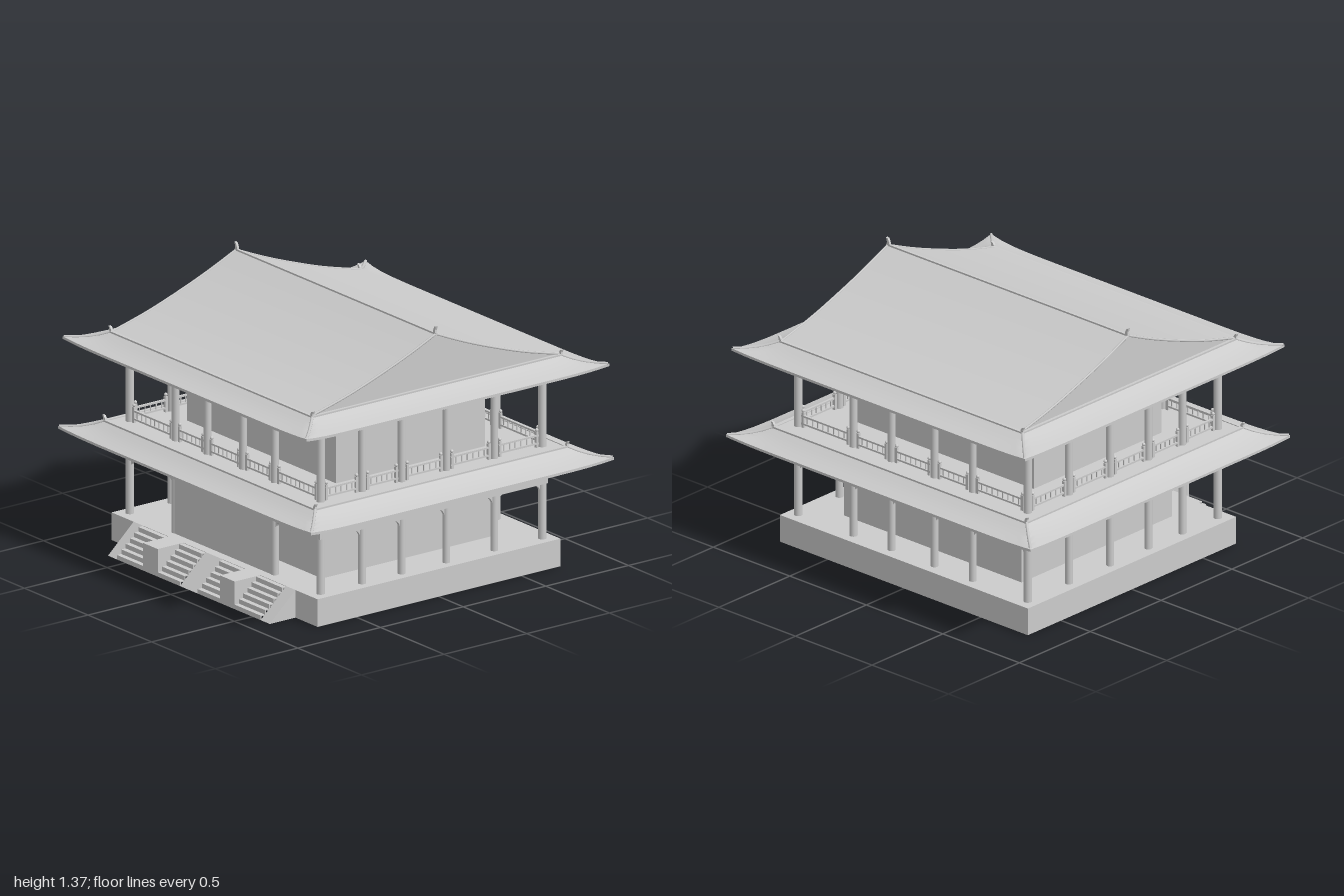
import * as THREE from 'three';
import { toCreasedNormals } from 'three/addons/utils/BufferGeometryUtils.js';

const grey = new THREE.MeshStandardMaterial({ color: 0xcccccc });
const greyDouble = new THREE.MeshStandardMaterial({ color: 0xcccccc, side: THREE.DoubleSide });

function add(parent, name, geometry, x = 0, y = 0, z = 0, material = grey) {
  const mesh = new THREE.Mesh(geometry, material);
  mesh.name = name;
  mesh.position.set(x, y, z);
  parent.add(mesh);
  return mesh;
}

const box = (parent, name, w, h, d, x, y, z) => add(parent, name, new THREE.BoxGeometry(w, h, d), x, y, z);

const polygon = (points) => new THREE.Shape(points.map(([x, y]) => new THREE.Vector2(x, y)));

// Rectangular ring (half sizes outside and inside) standing from y0 to y1
function frame(parent, name, xo, zo, xi, zi, y0, y1) {
  const shape = polygon([[-xo, -zo], [xo, -zo], [xo, zo], [-xo, zo]]);
  shape.holes.push(polygon([[-xi, -zi], [-xi, zi], [xi, zi], [xi, -zi]]));
  const geo = new THREE.ExtrudeGeometry(shape, { depth: y1 - y0, bevelEnabled: false });
  geo.rotateX(-Math.PI / 2);
  return add(parent, name, geo, 0, y0, 0);
}

// Side outline in (z, y), extruded along x and centred
function sideExtrude(points, width) {
  const geo = new THREE.ExtrudeGeometry(polygon(points.map(([z, y]) => [-z, y])), { depth: width, bevelEnabled: false });
  return geo.translate(0, 0, -width / 2).rotateY(Math.PI / 2);
}

// Skirt roof: one section swept round a rectangle, with upswept corners
function eave(parent, name, inner, outer, yTop, yLip) {
  const N = 32, h = yTop - yLip;
  const section = [[0, yTop], [0.25, yLip + h * 0.66], [0.5, yLip + h * 0.38], [0.75, yLip + h * 0.17],
    [1, yLip], [1, yLip - 0.013], [0.6, yLip - 0.011], [-0.5, yLip - 0.008]];
  const pos = [], index = [];
  for (let k = 0; k < 4; k++) {
    const start = pos.length / 3, a = k % 2, b = 1 - a;
    for (const [f, y] of section) {
      for (let i = 0; i <= N; i++) {
        const s = (i / N) * 2 - 1;
        const flare = Math.max(f, 0) ** 2 * Math.abs(s) ** 10;
        const w = THREE.MathUtils.lerp(inner[a], outer[a], f) + 0.016 * flare;
        const d = THREE.MathUtils.lerp(inner[b], outer[b], f) + 0.016 * flare;
        const v = new THREE.Vector3(s * w, y + 0.018 * flare, d).applyAxisAngle(THREE.Object3D.DEFAULT_UP, k * Math.PI / 2);
        pos.push(v.x, v.y, v.z);
      }
    }
    for (let j = 0; j < section.length - 1; j++) {
      for (let i = 0; i < N; i++) {
        const p = start + j * (N + 1) + i, q = p + N + 1;
        index.push(p, q, p + 1, p + 1, q, q + 1);
      }
    }
  }
  const geo = new THREE.BufferGeometry();
  geo.setAttribute('position', new THREE.Float32BufferAttribute(pos, 3));
  geo.setIndex(index);
  add(parent, name, toCreasedNormals(geo, 0.5), 0, 0, 0, greyDouble);
  frame(parent, name + 'Trim', inner[0] + 0.005, inner[1] + 0.005, inner[0] - 0.015, inner[1] - 0.015, yTop - 0.012, yTop + 0.006);

  // Hip ridges and hooked finials on the four corners
  for (const sx of [-1, 1]) {
    for (const sz of [-1, 1]) {
      const points = section.slice(0, 5).map(([f, y]) => new THREE.Vector3(
        sx * (THREE.MathUtils.lerp(inner[0], outer[0], f) + 0.012 * f * f), y + 0.018 * f * f,
        sz * (THREE.MathUtils.lerp(inner[1], outer[1], f) + 0.012 * f * f)));
      add(parent, 'hipRidge', new THREE.TubeGeometry(new THREE.CatmullRomCurve3(points), 12, 0.008, 6));
      finial(parent, sx * (inner[0] - 0.003), yTop, sz * (inner[1] - 0.003), sx, 0.03);
    }
  }
}

// Small upright hook
function finial(parent, x, y, z, sx, height) {
  const shape = polygon([[-0.012, 0], [0.008, 0], [0.006, height * 0.5], [0.012, height], [0, height * 0.9], [-0.008, height * 0.5]]);
  const geo = new THREE.ExtrudeGeometry(shape, { depth: 0.012, bevelEnabled: false }).translate(0, 0, -0.006);
  if (sx < 0) geo.rotateY(Math.PI);
  add(parent, 'finial', geo, x, y, z);
}

// Railing between two pillars, along local x
function railing(parent, x0, x1, y) {
  const g = new THREE.Group(), len = x1 - x0 - 0.05, mid = (x0 + x1) / 2;
  g.name = 'railing';
  g.position.set(mid, y, 0);
  for (const s of [-1, 1]) {
    const x = s * (len / 2 - 0.008);
    box(g, 'railPost', 0.014, 0.08, 0.014, x, 0.04, 0);
    add(g, 'postCap', new THREE.SphereGeometry(0.009, 10, 8), x, 0.088, 0);
  }
  box(g, 'topRail', len, 0.009, 0.012, 0, 0.06, 0);
  box(g, 'bottomRail', len, 0.009, 0.012, 0, 0.02, 0);
  const n = Math.round(len / 0.034);
  for (let i = 1; i < n; i++) box(g, 'baluster', 0.005, 0.04, 0.005, -len / 2 + (len * i) / n, 0.04, 0);
  parent.add(g);
}

// One side of a colonnade: inner pillars, arched corners and railings
function colonnade(parent, stops, depth, angle, y0, y1, { rails = false, skip = -1 } = {}) {
  const g = new THREE.Group(), r = 0.045;
  g.name = 'colonnadeSide';
  g.rotation.y = angle;
  const row = new THREE.Group();
  row.position.z = depth;
  g.add(row);
  stops.forEach((x, i) => {
    if (i > 0 && i < stops.length - 1)
      add(row, 'pillar', new THREE.CylinderGeometry(0.019, 0.019, y1 - y0 + 0.02, 16), x, (y0 + y1) / 2 + 0.01, 0);
    if (i === stops.length - 1 || i === skip) return;
    const next = stops[i + 1];
    for (const [px, s] of [[x + 0.015, 1], [next - 0.015, -1]]) {
      const shape = new THREE.Shape();
      shape.moveTo(0, 0);
      shape.lineTo(0, -r);
      shape.quadraticCurveTo(0.008 * s, -0.008, r * s, 0);
      add(row, 'archBracket', new THREE.ExtrudeGeometry(shape, { depth: 0.016, bevelEnabled: false, curveSegments: 8 }), px, y1 + 0.002, -0.008);
    }
    if (rails) railing(row, x, next, y0);
  });
  parent.add(g);
}

// A storey: pillars on all sides, lintel, ceiling and hollow hall
function storey(name, y0, y1, top, hall, frontStops, options, rails) {
  const g = new THREE.Group();
  g.name = name;
  const back = [-0.75, -0.39, -0.14, 0.14, 0.39, 0.75];
  const side = [-0.67, -0.38, -0.09, 0.18, 0.42, 0.67];
  colonnade(g, frontStops, 0.67, 0, y0, y1, { rails, ...options });
  colonnade(g, back, 0.67, Math.PI, y0, y1, { rails });
  colonnade(g, side.map((z) => -z).reverse(), 0.75, Math.PI / 2, y0, y1, { rails });
  colonnade(g, side, 0.75, -Math.PI / 2, y0, y1, { rails });
  for (const x of [-0.75, 0.75])
    for (const z of [-0.67, 0.67])
      add(g, 'cornerPillar', new THREE.CylinderGeometry(0.021, 0.021, y1 - y0 + 0.02, 16), x, (y0 + y1) / 2 + 0.01, z);
  frame(g, 'lintel', 0.77, 0.69, 0.73, 0.65, y1, top);
  frame(g, 'ceiling', 0.74, 0.66, hall[0] - 0.01, 0.45, top - 0.012, top - 0.002);
  frame(g, 'hallWalls', hall[0], hall[1], hall[0] - 0.012, hall[1] - 0.012, y0 - 0.003, top - 0.001);
  return g;
}

export function createModel() {
  const model = new THREE.Group();
  model.name = 'pavilion';

  // Hollow platform
  frame(model, 'platformWalls', 0.81, 0.735, 0.8, 0.725, 0, 0.14);
  frame(model, 'platformTop', 0.805, 0.73, 0.57, 0.52, 0.13, 0.14);

  // Front steps with sloping cheeks, middle ramp and two solid blocks
  const zigzag = [], under = [], n = 6;
  for (let i = 0; i < n; i++) {
    const z = 0.89 - (i * 0.155) / n, y = ((i + 1) * 0.138) / n;
    zigzag.push([z, y - 0.138 / n], [z, y]);
    under.unshift([z - 0.006, y - 0.138 / n - (i ? 0.005 : 0)], [z - 0.006, y - 0.005]);
  }
  for (let i = 0; i < under.length; i += 2) under.splice(i, 2, under[i + 1], under[i]);
  const stepShape = [...zigzag, [0.735, 0.138], [0.735, 0.133], ...under];
  const slope = [[0.89, 0], [0.735, 0.14], [0.735, 0]];
  for (const s of [-1, 1]) {
    add(model, 'wideSteps', sideExtrude(stepShape, 0.205), s * 0.462, 0, 0);
    add(model, 'narrowSteps', sideExtrude(stepShape, 0.175), s * 0.157, 0, 0);
    add(model, 'stepCheek', sideExtrude(slope, 0.072), s * 0.6, 0, 0);
    box(model, 'stepBlock', 0.115, 0.14, 0.155, s * 0.302, 0.07, 0.8125);
  }
  add(model, 'middleRamp', sideExtrude(slope, 0.14));

  // Ground floor with a three-leaf front screen
  const ground = storey('groundFloor', 0.14, 0.42, 0.54, [0.58, 0.53], [-0.75, -0.39, 0.39, 0.75], { rails: false, skip: 1 }, false);
  for (const i of [-1, 0, 1]) box(ground, 'frontScreen', 0.254, 0.29, 0.02, i * 0.256, 0.28, 0.675);
  model.add(ground);
  eave(model, 'lowerEave', [0.83, 0.765], [0.98, 0.9], 0.605, 0.548);

  // Upper floor
  frame(model, 'upperFloor', 0.82, 0.755, 0.57, 0.44, 0.592, 0.607);
  model.add(storey('upperStorey', 0.607, 0.95, 1.01, [0.585, 0.45], [-0.75, -0.39, -0.14, 0.14, 0.39, 0.75], {}, true));
  eave(model, 'upperEave', [0.795, 0.755], [0.942, 0.9], 1.063, 1.012);

  // Gabled main roof with a gently sagging slope
  const slopeCurve = new THREE.SplineCurve([[0.755, 1.066], [0.53, 1.125], [0.315, 1.197], [0.15, 1.26], [0, 1.325]]
    .map(([z, y]) => new THREE.Vector2(z, y)));
  const half = slopeCurve.getPoints(20).map((p) => [p.x, p.y]);
  const outline = [...half, ...half.slice(0, -1).reverse().map(([z, y]) => [-z, y])];
  add(model, 'mainRoof', toCreasedNormals(sideExtrude(outline, 1.57), 0.3));
  box(model, 'ridge', 1.58, 0.012, 0.012, 0, 1.325, 0);
  for (const s of [-1, 1]) {
    const verge = new THREE.CatmullRomCurve3(outline.map(([z, y]) => new THREE.Vector3(s * 0.785, y, z)));
    add(model, 'vergeRib', new THREE.TubeGeometry(verge, 40, 0.006, 6));
    finial(model, s * 0.78, 1.325, 0, s, 0.04);
  }
  return model;
}
